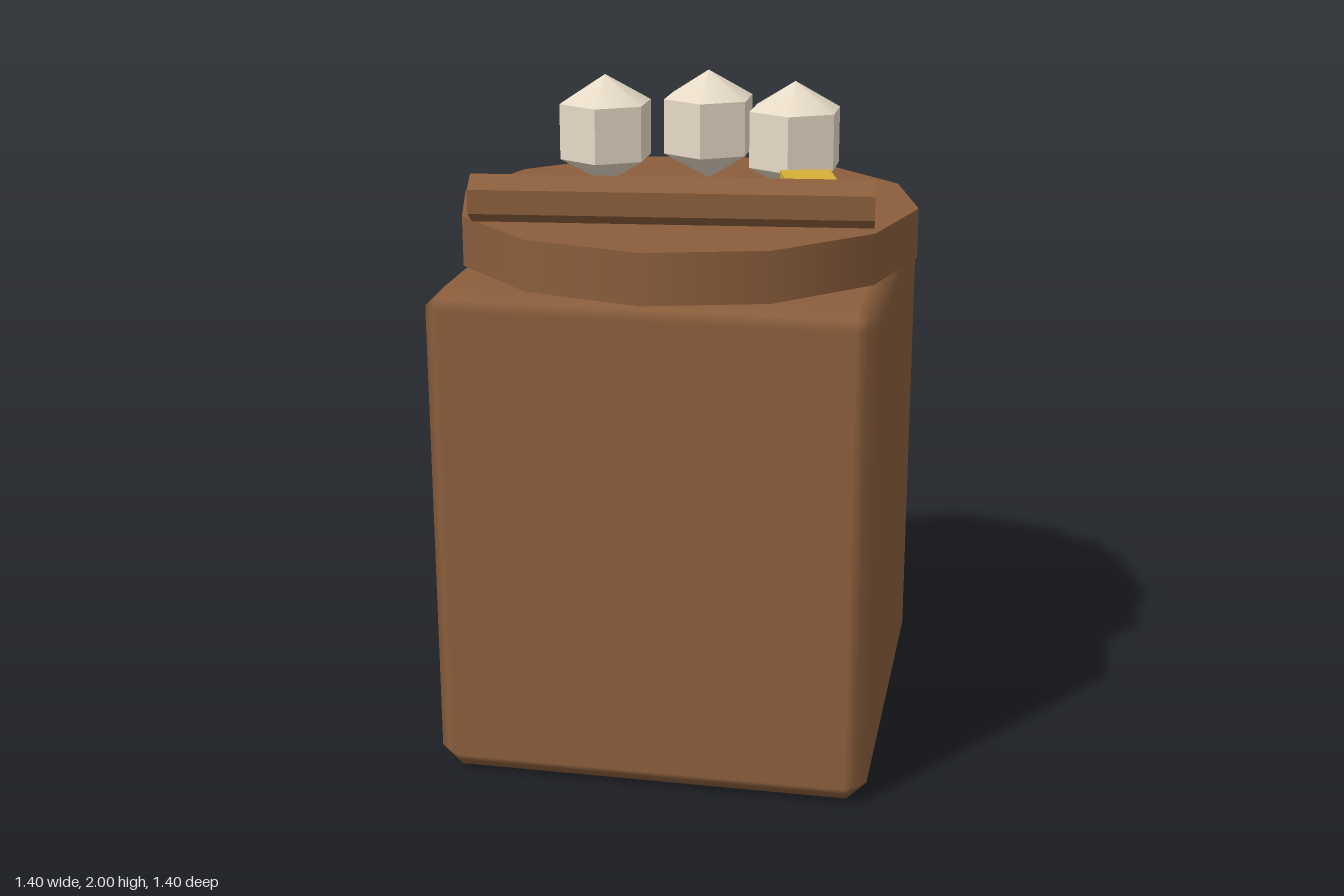
import * as THREE from 'three';
import { toCreasedNormals } from 'three/addons/utils/BufferGeometryUtils.js';
import { RoundedBoxGeometry } from 'three/addons/geometries/RoundedBoxGeometry.js';

const material = (name, color) => {
  const m = new THREE.MeshStandardMaterial({ color });
  m.name = name;
  return m;
};

// Box with straight chamfers that keep soft, rounded normals
function chamferedBox(w, h, d, r) {
  const geo = new RoundedBoxGeometry(w, h, d, 1, r);
  const pos = geo.attributes.position;
  const p = new THREE.Vector3(), n = new THREE.Vector3();
  for (let i = 0; i < pos.count; i++) {
    p.fromBufferAttribute(pos, i);
    n.fromBufferAttribute(geo.attributes.normal, i);
    p.addScaledVector(n, r / n.manhattanLength() - r);
    pos.setXYZ(i, p.x, p.y, p.z);
  }
  return geo;
}

export function createModel() {
  const model = new THREE.Group();
  model.name = 'pedestal';
  const brown = material('brown', 0x8b5e3c);
  const cream = material('cream', 0xe8dcc8);
  const gold = material('gold', 0xd4af37);

  const add = (name, geo, mat, x, y, z, turn = 0) => {
    const mesh = new THREE.Mesh(geo, mat);
    mesh.name = name;
    mesh.position.set(x, y, z);
    mesh.rotation.y = turn;
    model.add(mesh);
  };

  // Block and the twelve-sided slab on top of it
  add('block', chamferedBox(1.3, 1.51, 1.3, 0.06), brown, 0, 0.755, 0);
  add('slab', new THREE.CylinderGeometry(0.7, 0.7, 0.15, 12), brown, 0, 1.585, 0);

  // Three faceted stones with smooth caps
  const stone = toCreasedNormals(new THREE.SphereGeometry(0.172, 6, 3).rotateY(Math.PI / 2), 0.7);
  for (const [x, z] of [[-0.3, -0.205], [0, -0.355], [0.3, -0.18]]) {
    add('stone', stone, cream, x, 1.828, z);
  }

  // Six-sided rod lying across the front
  const rod = toCreasedNormals(
    new THREE.CylinderGeometry(0.07, 0.07, 1.16, 6, 1, false, Math.PI / 2).rotateZ(Math.PI / 2), 0.6);
  add('rod', rod, brown, 0.022, 1.733, 0.362, 0.108);

  // Small gold block
  add('goldBlock', new THREE.BoxGeometry(0.15, 0.105, 0.15), gold, 0.377, 1.712, 0.073, 0.265);

  return model;
}
